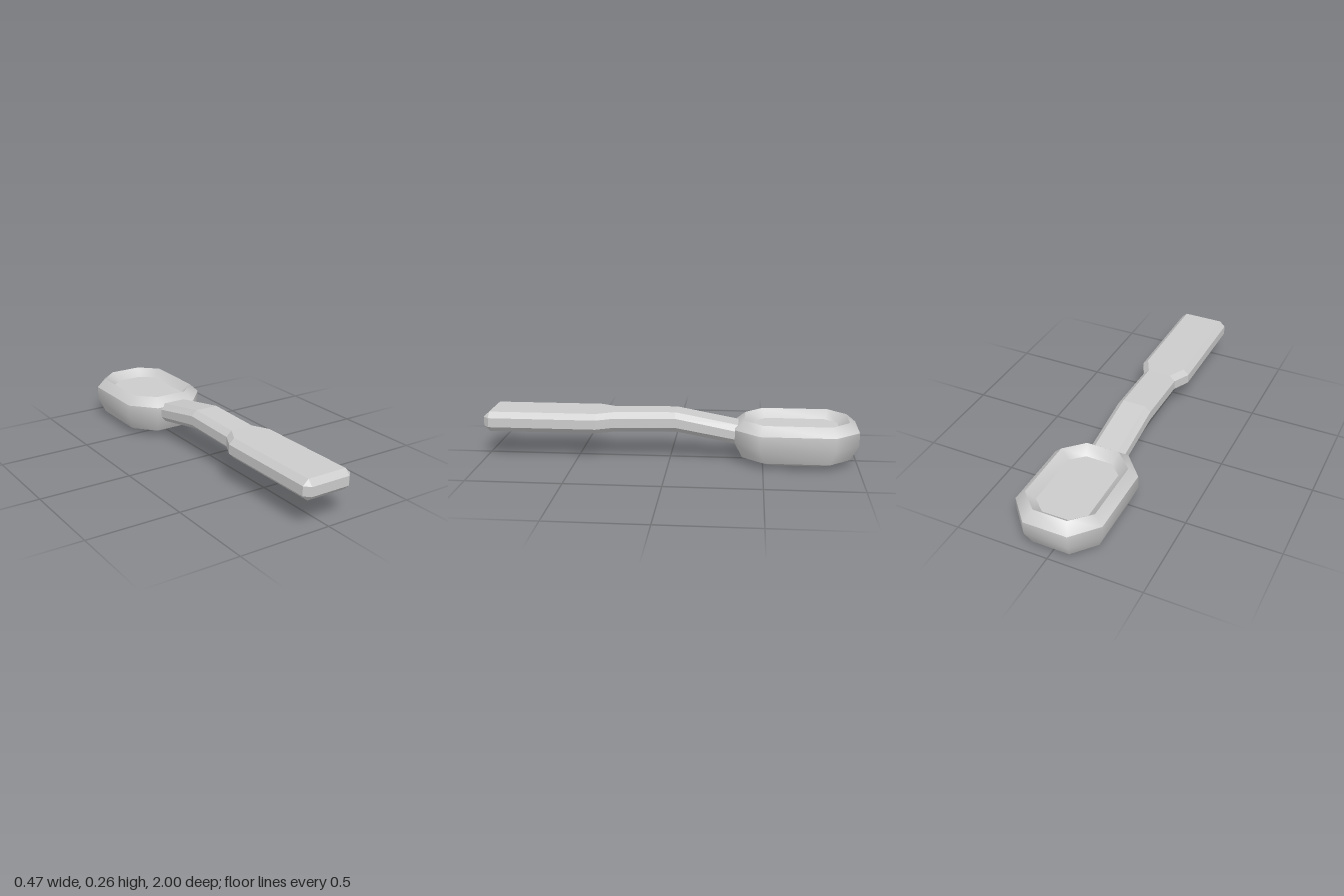
import * as THREE from 'three';

const material = new THREE.MeshStandardMaterial({ color: 0xcccccc });
const flatMaterial = new THREE.MeshStandardMaterial({ color: 0xcccccc, flatShading: true });

// Skin a series of eight-point rings, optionally closing either end.
function loft(rings, capStart = false, capEnd = false) {
  const n = rings[0].length;
  const last = (rings.length - 1) * n;
  const index = [];
  for (let i = 0; i < rings.length - 1; i++) {
    for (let j = 0; j < n; j++) {
      const a = i * n + j, b = i * n + (j + 1) % n;
      index.push(a, a + n, b + n, a, b + n, b);
    }
  }
  for (let j = 1; j < n - 1; j++) {
    if (capStart) index.push(0, j, j + 1);
    if (capEnd) index.push(last, last + j + 1, last + j);
  }
  const geometry = new THREE.BufferGeometry();
  geometry.setAttribute('position', new THREE.Float32BufferAttribute(rings.flat(2), 3));
  geometry.setIndex(index);
  geometry.computeVertexNormals();
  return geometry;
}

// Counter-clockwise octagon: full half sizes w, h and the half lengths of its flats fw, fh.
const octagon = (w, h, fw, fh) => [
  [w, -fh], [w, fh], [fw, h], [-fw, h], [-w, fh], [-w, -fh], [-fw, -h], [fw, -h],
];

// Horizontal ring of the bowl
const bowlRing = (y, w, d, fw, fd) =>
  octagon(w, d, fw, fd).map(([x, z]) => [x, y, z - 0.675]);

// Upright ring of the handle
const handleRing = (z, y, w, h, fw, fh) =>
  octagon(w, h, fw, fh).map(([px, py]) => [px, y + py, z]);

function createBowl() {
  const bowl = new THREE.Group();
  bowl.name = 'bowl';
  const bottom = bowlRing(0, 0.115, 0.2, 0.06, 0.12);
  const base = bowlRing(0.035, 0.2, 0.285, 0.1, 0.17);
  const belly = bowlRing(0.117, 0.233, 0.325, 0.117, 0.195);
  const shoulder = bowlRing(0.188, 0.233, 0.325, 0.117, 0.195);
  const ridge = bowlRing(0.235, 0.187, 0.273, 0.09, 0.178);
  const floor = bowlRing(0.19, 0.141, 0.224, 0.071, 0.16);

  // Separate strips keep the edges between them sharp
  const strips = [
    ['bowlBase', loft([bottom, base], true)],
    ['bowlWall', loft([base, belly, shoulder])],
    ['bowlRim', loft([shoulder, ridge])],
    ['bowlInnerWall', loft([ridge, floor])],
    ['bowlFloor', loft([floor, floor], false, true)],
  ];
  for (const [name, geometry] of strips) {
    const mesh = new THREE.Mesh(geometry, material);
    mesh.name = name;
    bowl.add(mesh);
  }
  return bowl;
}

function createHandle() {
  // Bevelled tip, wide grip, narrow neck, then a bend down into the bowl
  const rings = [
    handleRing(1, 0.204, 0.11, 0.025, 0.11, 0.025),
    handleRing(0.97, 0.204, 0.14, 0.054, 0.11, 0.025),
    handleRing(0.39, 0.204, 0.14, 0.054, 0.11, 0.025),
    handleRing(0.3, 0.204, 0.094, 0.054, 0.064, 0.025),
    handleRing(-0.03, 0.212, 0.094, 0.053, 0.064, 0.025),
    handleRing(-0.385, 0.146, 0.094, 0.053, 0.064, 0.022),
  ];
  const handle = new THREE.Mesh(loft(rings, true, true), flatMaterial);
  handle.name = 'handle';
  return handle;
}

export function createModel() {
  const model = new THREE.Group();
  model.name = 'spoon';
  model.add(createBowl(), createHandle());
  return model;
}
